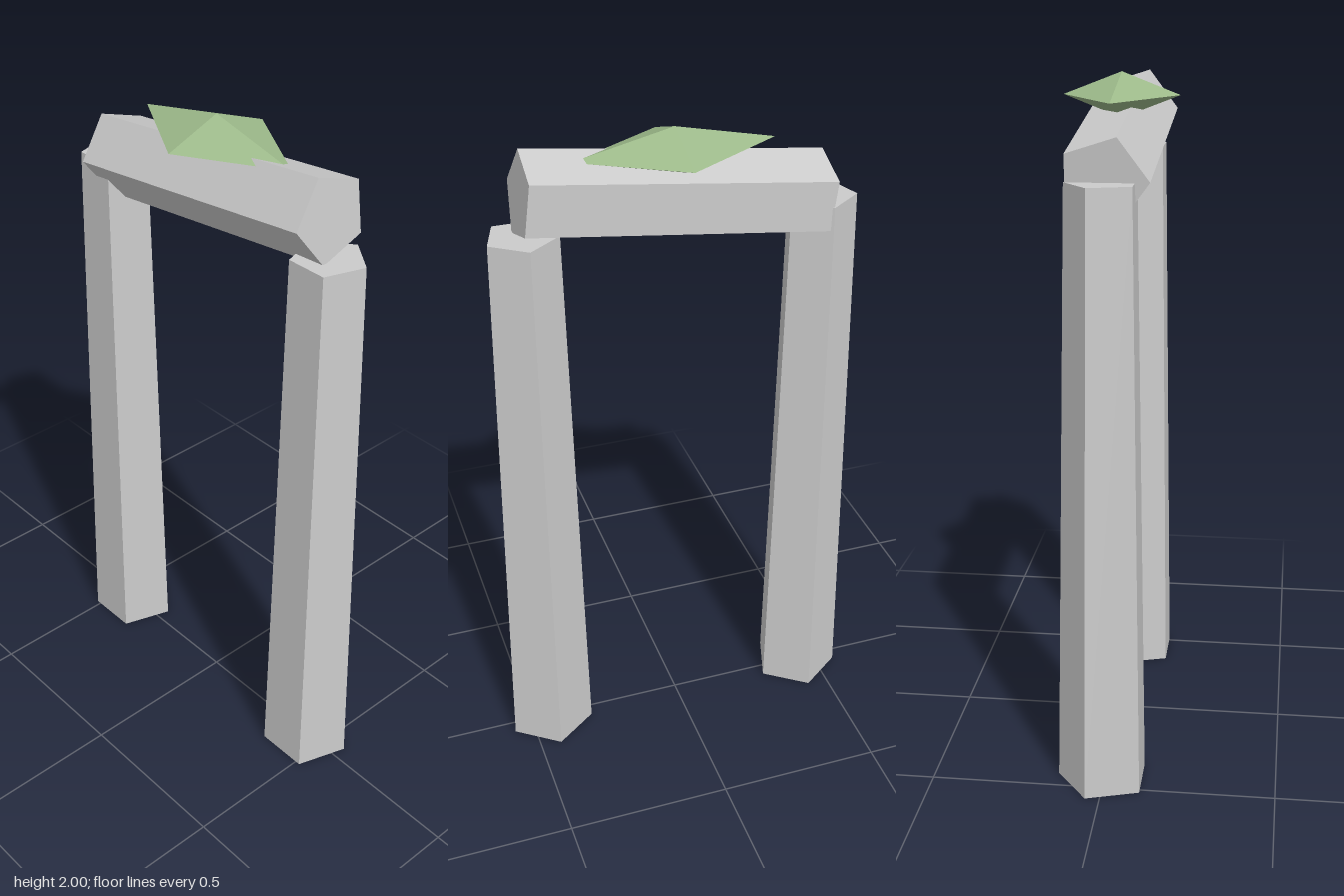
import * as THREE from 'three';

export function createModel() {
  const model = new THREE.Group();
  const stone = new THREE.MeshStandardMaterial({ color: 0xcccccc, flatShading: true });
  const moss = new THREE.MeshStandardMaterial({ color: 0x9dba8a, flatShading: true });

  const add = (name, geometry, material, x, y) => {
    const mesh = new THREE.Mesh(geometry, material);
    mesh.name = name;
    mesh.position.set(x, y, 0);
    model.add(mesh);
    return mesh;
  };

  // Two tapered five-sided pillars, pointed edge to the back
  const height = 1.745;
  for (const [name, side] of [['leftPillar', 1], ['rightPillar', -1]]) {
    const pillar = new THREE.CylinderGeometry(0.105, 0.136, height, 5).rotateY(Math.PI);
    add(name, pillar, stone, side * 0.435, height / 2);
  }

  // Five-sided lintel, pointed edge to the front, resting at a slant
  const beam = new THREE.CylinderGeometry(0.125, 0.125, 0.88, 5).rotateZ(Math.PI / 2);
  add('lintel', beam, stone, 0, 1.803).rotation.z = 0.127;

  // Flattened diamond of moss, partly sunk into the lintel
  const patch = new THREE.OctahedronGeometry(1).scale(0.29, 0.065, 0.168);
  add('mossPatch', patch, moss, 0, 1.935);

  return model;
}
